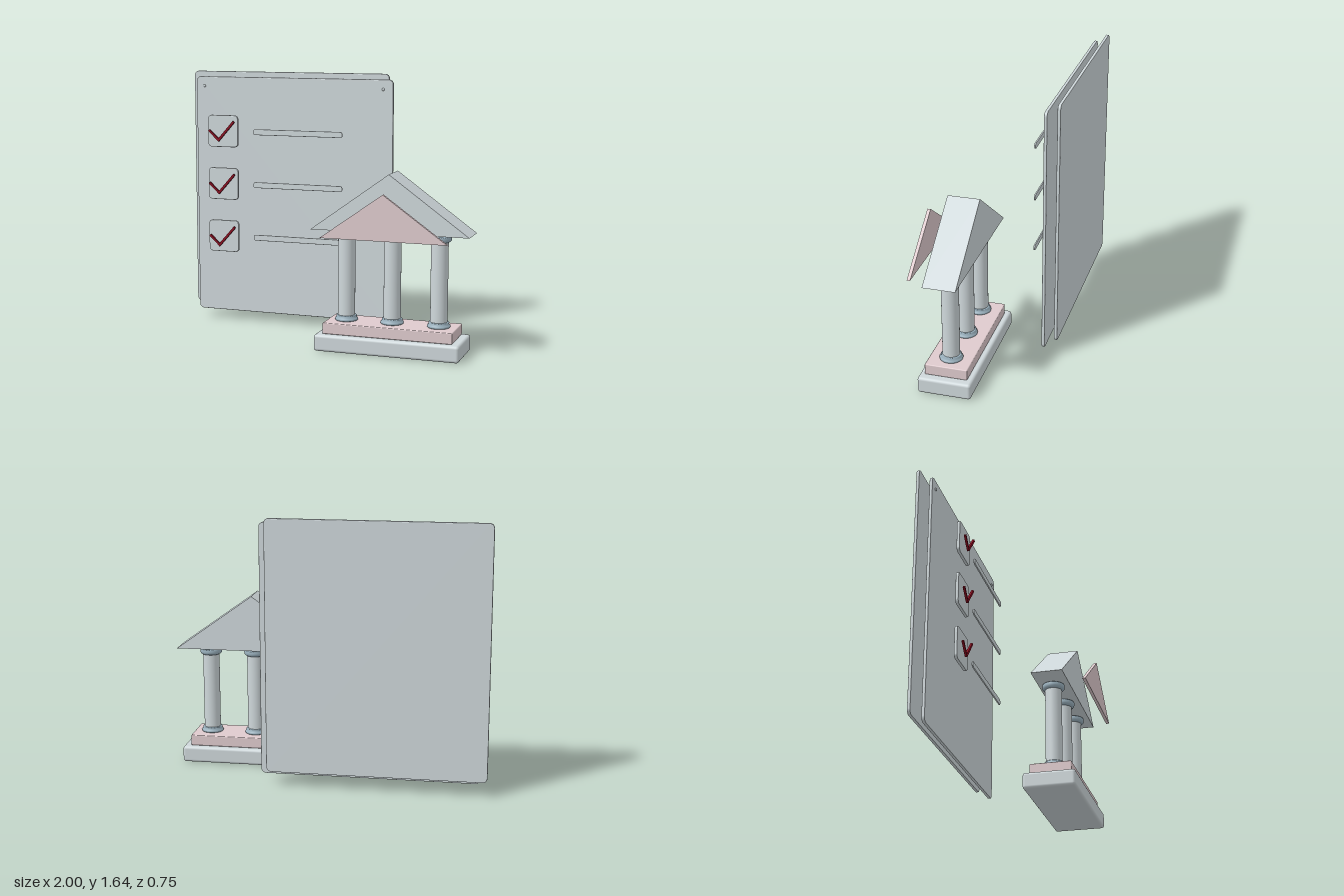
import * as THREE from 'three';
import { RoundedBoxGeometry } from 'three/addons/geometries/RoundedBoxGeometry.js';

const paint = (color) => new THREE.MeshStandardMaterial({ color });
const pale = paint(0xcfd8db);
const pink = paint(0xdfcbce);
const blue = paint(0x9db4c1);
const red = paint(0x8c0a20);

function add(parent, name, geometry, material, x = 0, y = 0, z = 0) {
  const mesh = new THREE.Mesh(geometry, material);
  mesh.name = name;
  mesh.position.set(x, y, z);
  parent.add(mesh);
  return mesh;
}

// Flat plate with rounded outline corners and softened rims, centred on its origin
function plate(w, h, d, r, bevel) {
  const a = w / 2 - bevel, b = h / 2 - bevel;
  const s = new THREE.Shape();
  s.moveTo(-a + r, -b);
  s.lineTo(a - r, -b);
  s.absarc(a - r, -b + r, r, -Math.PI / 2, 0);
  s.lineTo(a, b - r);
  s.absarc(a - r, b - r, r, 0, Math.PI / 2);
  s.lineTo(-a + r, b);
  s.absarc(-a + r, b - r, r, Math.PI / 2, Math.PI);
  s.lineTo(-a, -b + r);
  s.absarc(-a + r, -b + r, r, Math.PI, Math.PI * 1.5);
  const g = new THREE.ExtrudeGeometry(s, {
    depth: d - 2 * bevel, bevelThickness: bevel, bevelSize: bevel, bevelSegments: 2, curveSegments: 8,
  });
  return g.translate(0, 0, -d / 2 + bevel);
}

// Straight-edged slab from outline points
function slab(points, depth) {
  const s = new THREE.Shape(points.map(([x, y]) => new THREE.Vector2(x, y)));
  return new THREE.ExtrudeGeometry(s, { depth, bevelEnabled: false });
}

const lathe = (points) =>
  new THREE.LatheGeometry(points.map(([r, y]) => new THREE.Vector2(r, y)), 40);

function createDocument() {
  const doc = new THREE.Group();
  doc.name = 'document';
  const sheet = plate(1.335, 1.547, 0.02, 0.025, 0.005);
  add(doc, 'backSheet', sheet, pale, -0.333, 0.865, -0.365);
  add(doc, 'frontSheet', sheet, pale, -0.288, 0.833, -0.298);

  // Small pins in the upper corners
  for (const x of [-0.9, 0.315]) {
    add(doc, 'pin', new THREE.SphereGeometry(0.009, 16, 10), pale, x, 1.545, -0.289);
  }

  // Three rows: box, tick and text bar
  const box = plate(0.207, 0.205, 0.02, 0.02, 0.005);
  const bar = plate(0.6, 0.037, 0.01, 0.013, 0.003);
  const tick = slab([
    [-0.088, 0.002], [-0.017, -0.065], [0.093, 0.06],
    [0.083, 0.07], [-0.019, -0.045], [-0.08, 0.012],
  ], 0.013);
  for (const y of [1.265, 0.925, 0.583]) {
    const row = new THREE.Group();
    row.name = 'checklistRow';
    row.position.y = y;
    doc.add(row);
    add(row, 'checkbox', box, pale, -0.718, 0, -0.167);
    add(row, 'tick', tick, red, -0.718, 0, -0.138);
    add(row, 'textBar', bar, pale, -0.21, 0, -0.162);
  }
  return doc;
}

function createBuilding() {
  const building = new THREE.Group();
  building.name = 'building';
  building.position.set(0.51, 0, 0.15);
  add(building, 'plinth', new RoundedBoxGeometry(0.895, 0.102, 0.325, 4, 0.018), pale, 0, 0.052, 0);
  add(building, 'step', new RoundedBoxGeometry(0.8, 0.068, 0.26, 2, 0.006), pink, 0, 0.138, 0);

  // Columns with turned bases and capitals
  const shaft = new THREE.CylinderGeometry(0.052, 0.052, 0.53, 40);
  const base = lathe([
    [0, 0], [0.064, 0], [0.069, 0.004], [0.07, 0.01], [0.068, 0.016], [0.062, 0.02],
    [0.062, 0.03], [0.058, 0.035], [0, 0.035],
  ]);
  const capital = lathe([
    [0, 0], [0.056, 0], [0.064, 0.005], [0.069, 0.012], [0.07, 0.02], [0.07, 0.032], [0.067, 0.038], [0, 0.038],
  ]);
  for (const x of [-0.288, 0, 0.288]) {
    const column = new THREE.Group();
    column.name = 'column';
    column.position.x = x;
    building.add(column);
    add(column, 'shaft', shaft, pale, 0, 0.445, 0);
    add(column, 'columnBase', base, blue, 0, 0.171, 0);
    add(column, 'capital', capital, blue, 0, 0.686, 0);
  }

  // Gabled roof and the separate panel floating in front of it
  add(building, 'roof', slab([[-0.487, 0], [0.487, 0], [0, 0.351]], 0.197), pale, 0, 0.734, -0.098);
  add(building, 'pedimentPanel', slab([[-0.386, 0], [0.386, 0], [0, 0.274]], 0.02), pink, 0, 0.708, 0.205);
  return building;
}

export function createModel() {
  const model = new THREE.Group();
  model.name = 'checklistAndBuilding';
  model.add(createDocument(), createBuilding());
  return model;
}
